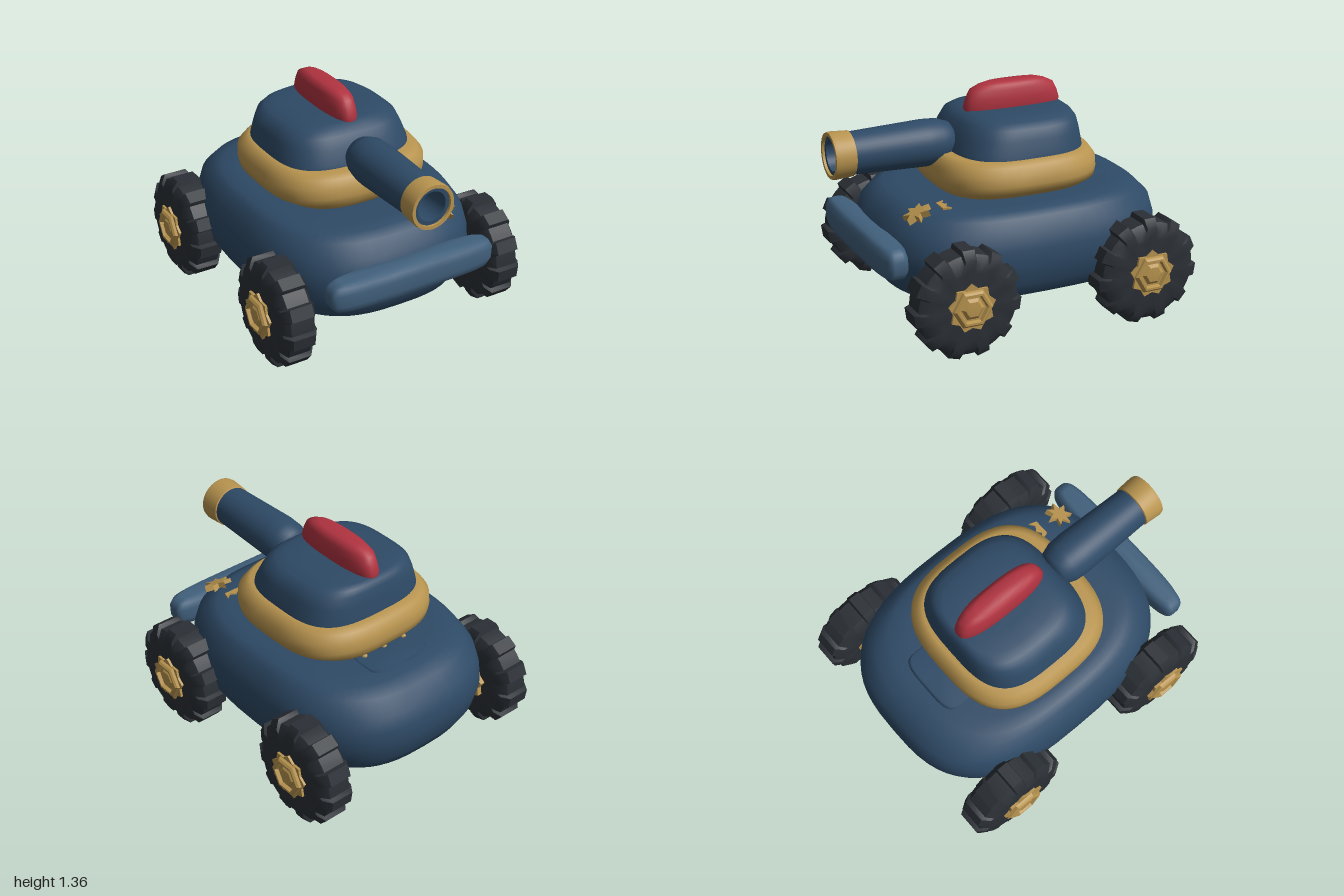
import * as THREE from 'three';
import { toCreasedNormals } from 'three/addons/utils/BufferGeometryUtils.js';

const COLORS = { blue: 0x2e4a66, steel: 0x41607c, gold: 0xb8944f, red: 0xb03340, rubber: 0x2b3036 };
const materials = {};
for (const key in COLORS) materials[key] = new THREE.MeshStandardMaterial({ color: COLORS[key] });

function mesh(name, geometry, color, x = 0, y = 0, z = 0) {
  const m = new THREE.Mesh(geometry, materials[color]);
  m.name = name;
  m.position.set(x, y, z);
  return m;
}

// Unit rounded-square outline (superellipse) in the xz plane
function superellipse(n, count = 64) {
  const p = (v) => Math.sign(v) * Math.pow(Math.abs(v), 2 / n);
  return Array.from({ length: count }, (_, i) => {
    const t = (i / count) * Math.PI * 2;
    return [p(Math.cos(t)), p(Math.sin(t))];
  });
}

// Stack scaled copies of an outline; each level is [y, halfX, halfZ, centreZ]
function loft(outline, levels) {
  const pos = [], index = [], n = outline.length;
  for (const [y, a, b, cz = 0] of levels)
    for (const [x, z] of outline) pos.push(x * a, y, z * b + cz);
  for (let i = 0; i < levels.length - 1; i++)
    for (let j = 0; j < n; j++) {
      const a = i * n + j, b = i * n + ((j + 1) % n);
      index.push(a, a + n, b, b, a + n, b + n);
    }
  const g = new THREE.BufferGeometry();
  g.setAttribute('position', new THREE.Float32BufferAttribute(pos, 3));
  g.setIndex(index);
  g.computeVertexNormals();
  return g;
}

function starShape(points, outer, inner) {
  const s = new THREE.Shape();
  for (let i = 0; i < points * 2; i++) {
    const r = i % 2 ? inner : outer, t = (i / points) * Math.PI + Math.PI / 2;
    s[i ? 'lineTo' : 'moveTo'](r * Math.cos(t), r * Math.sin(t));
  }
  s.closePath();
  return s;
}

const extrude = (shape, depth) => new THREE.ExtrudeGeometry(shape, { depth, bevelEnabled: false });

// Wheel built around +y, then turned so its outer face points to +x
function createWheel() {
  const wheel = new THREE.Group();
  const outline = [], teeth = 11;
  for (let i = 0; i < teeth; i++)
    for (const [offset, r] of [[-0.26, 0.915], [-0.2, 1], [0.2, 1], [0.26, 0.915], [0.5, 0.915]]) {
      const t = ((i + offset) / teeth) * Math.PI * 2;
      outline.push([-r * Math.cos(t), r * Math.sin(t)].map((v, k) => (k ? -v : v)));
    }
  const ring = (y, r) => [y, r, r];
  outline.reverse();
  if (outline[0][0] * outline[1][1] - outline[0][1] * outline[1][0] < 0) outline.reverse();
  const tire = loft(outline, [ring(-0.11, 0), ring(-0.11, 0.22), ring(-0.105, 0.275), ring(-0.07, 0.328),
    ring(0.07, 0.328), ring(0.105, 0.275), ring(0.11, 0.22), ring(0.11, 0)]);
  tire.rotateZ(-Math.PI / 2).rotateX(Math.PI);
  // rotateZ sends the first tooth (-x) to +y
  wheel.add(mesh('tire', toCreasedNormals(tire.rotateX(Math.PI), 0.8), 'rubber'));

  // Star washer on both faces, hex nut with a recessed dome outside
  const washer = extrude(starShape(9, 0.145, 0.118), 0.265).translate(0, 0, -0.14).rotateY(Math.PI / 2);
  wheel.add(mesh('hubWasher', washer, 'gold'));
  const nut = new THREE.LatheGeometry([[0.125, 0.12], [0.118, 0.14], [0.105, 0.15], [0.09, 0.15], [0.082, 0.128],
    [0.07, 0.128], [0.05, 0.142], [0, 0.145]].map(([r, y]) => new THREE.Vector2(r, y)), 6);
  wheel.add(mesh('hubNut', toCreasedNormals(nut, 0.3).rotateZ(-Math.PI / 2), 'gold'));
  return wheel;
}

export function createModel() {
  const model = new THREE.Group();

  // Hull
  model.add(mesh('hull', loft(superellipse(2.85), [
    [0.22, 0, 0, -0.11], [0.22, 0.35, 0.5, -0.11], [0.22, 0.55, 0.74, -0.11], [0.25, 0.62, 0.81, -0.11],
    [0.34, 0.675, 0.86, -0.11], [0.46, 0.695, 0.89, -0.11], [0.55, 0.69, 0.88, -0.11], [0.64, 0.667, 0.855, -0.11],
    [0.72, 0.615, 0.78, -0.105], [0.75, 0.57, 0.7, -0.09], [0.762, 0.5, 0.6, -0.07],
    [0.764, 0.3, 0.4, -0.07], [0.764, 0, 0, -0.07]]), 'blue'));

  // Rear deck hatch with rivets
  model.add(mesh('rearHatch', loft(superellipse(4), [
    [0.72, 0.22, 0.13], [0.758, 0.22, 0.13], [0.769, 0.205, 0.115], [0.77, 0, 0]]), 'blue', 0, 0, -0.6));
  for (const x of [-0.15, 0, 0.15])
    model.add(mesh('hatchRivet', new THREE.SphereGeometry(0.018, 12, 8), 'gold', x, 0.768, -0.55));

  // Front bumper
  model.add(mesh('bumper', loft(superellipse(4), [
    [0.42, 0, 0], [0.42, 0.47, 0.055], [0.44, 0.52, 0.08], [0.48, 0.545, 0.09], [0.55, 0.548, 0.09],
    [0.59, 0.525, 0.08], [0.61, 0.48, 0.055], [0.61, 0, 0]]), 'steel', 0, 0, 0.795));

  // Turret collar and dome
  model.add(mesh('turretCollar', loft(superellipse(3), [
    [0.75, 0, 0], [0.755, 0.35, 0.42], [0.78, 0.43, 0.46], [0.825, 0.5, 0.497], [0.87, 0.508, 0.505],
    [0.93, 0.505, 0.5], [0.975, 0.47, 0.47], [1.0, 0.435, 0.44], [1.0, 0.3, 0.3], [1.0, 0, 0]]),
    'gold', 0, 0, -0.1));
  model.add(mesh('turret', loft(superellipse(3.2), [
    [0.98, 0.432, 0.405, -0.115], [1.02, 0.425, 0.4, -0.117], [1.1, 0.4, 0.375, -0.13], [1.16, 0.375, 0.352, -0.14],
    [1.19, 0.325, 0.325, -0.15], [1.208, 0.26, 0.29, -0.16], [1.212, 0.15, 0.18, -0.16], [1.212, 0, 0, -0.16]]), 'blue'));

  // Crest along the top
  model.add(mesh('crest', loft(superellipse(2.6, 48), [
    [1.18, 0.08, 0.3], [1.22, 0.09, 0.311], [1.27, 0.088, 0.295], [1.32, 0.08, 0.27], [1.345, 0.065, 0.22],
    [1.36, 0.045, 0.165], [1.36, 0, 0]]), 'red', 0, 0, -0.155));

  // Barrel with open bore, and muzzle ring
  const lathe = (points) => toCreasedNormals(
    new THREE.LatheGeometry(points.map(([r, y]) => new THREE.Vector2(r, y)), 40), 0.7).rotateX(Math.PI / 2);
  model.add(mesh('barrel', lathe([[0, 0.235], [0.08, 0.24], [0.11, 0.26], [0.135, 0.33], [0.14, 0.42], [0.125, 0.88],
    [0.115, 0.985], [0.09, 0.985], [0.088, 0.75], [0, 0.75]]), 'blue', 0, 1.04, 0));
  model.add(mesh('muzzleRing', lathe([[0.122, 0.87], [0.133, 0.875], [0.14, 0.98], [0.136, 1.0], [0.115, 1.0],
    [0.113, 0.96]]), 'gold', 0, 1.04, 0));

  // Deck emblems: star on the slope, crown behind it
  const star = mesh('deckStar', extrude(starShape(7, 0.085, 0.042), 0.04).translate(0, 0, -0.02), 'gold', 0.335, 0.738, 0.6);
  star.rotation.x = -Math.PI / 2 + 0.42;
  model.add(star);
  const crown = new THREE.Shape([[-0.05, -0.025], [0.05, -0.025], [0.065, 0.025], [0.03, 0], [0, 0.022],
    [-0.03, 0], [-0.065, 0.025]].map(([x, y]) => new THREE.Vector2(x, y)));
  const crownMesh = mesh('deckCrown', extrude(crown, 0.035), 'gold', 0.335, 0.735, 0.435);
  crownMesh.rotation.x = -Math.PI / 2 + 0.08;
  model.add(crownMesh);

  // Wheels
  for (const side of [1, -1])
    for (const [name, z] of [['frontWheel', 0.48], ['rearWheel', -0.675]]) {
      const wheel = createWheel();
      wheel.name = name;
      wheel.position.set(side * 0.7, 0.328, z);
      if (side < 0) wheel.rotation.y = Math.PI;
      model.add(wheel);
    }
  return model;
}
